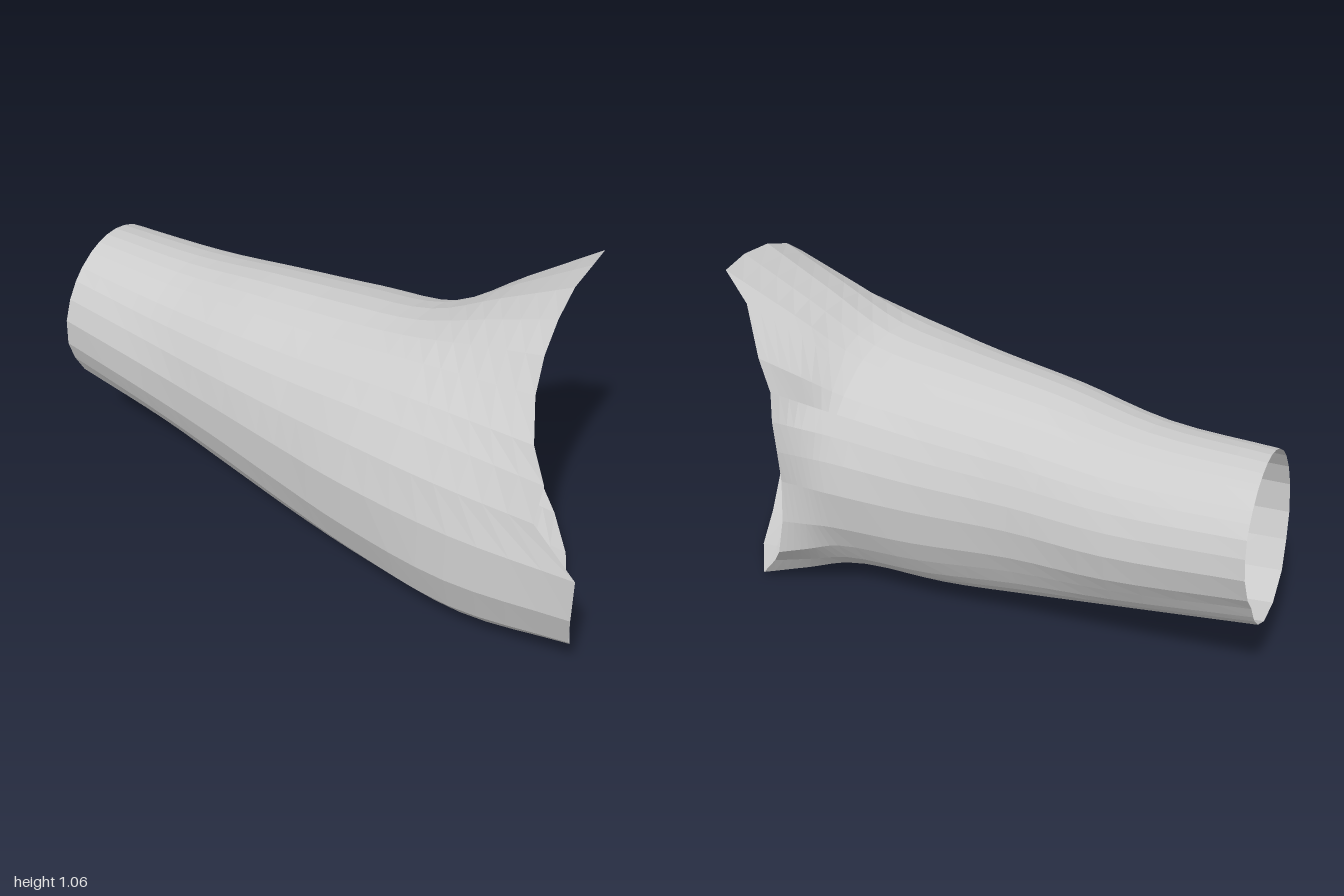
import * as THREE from 'three';

// Body rings, back to front: centre, z, and radius every 30 degrees from +x
const RINGS = [
  { c: [-0.05, 0.48], z: a => -0.968 - 0.033 * Math.cos(a) + 0.024 * Math.sin(a),
    r: [.25, .265, .26, .26, .255, .25, .25, .25, .275, .265, .24, .22] },
  { c: [-0.03, 0.44], z: () => -0.6,
    r: [.285, .295, .305, .30, .29, .275, .275, .28, .30, .305, .28, .265] },
  { c: [-0.03, 0.43], z: () => -0.3,
    r: [.31, .325, .35, .35, .335, .315, .305, .315, .34, .35, .335, .305] },
  { c: [-0.02, 0.42], z: () => 0,
    r: [.36, .37, .39, .39, .375, .36, .355, .365, .385, .39, .38, .36] },
  { c: [-0.01, 0.42], z: () => 0.27,
    r: [.40, .41, .425, .425, .415, .405, .405, .41, .42, .412, .405, .40] },
];

// Ragged, slanted front rim, counter-clockwise from the +x side
const RIM = [
  [.41, .45, .42], [.42, .56, .42], [.42, .66, .43], [.405, .75, .44], [.4, .85, .48],
  [.32, .97, .58], [.3, 1.05, .67], [.19, 1.06, .69], [.07, 1.05, .70], [-.04, 1.01, .715],
  [-.13, .95, .73], [-.2, .87, .75], [-.28, .78, .80], [-.32, .7, .86], [-.36, .6, .86],
  [-.37, .48, 1], [-.37, .34, 1], [-.33, .22, .985], [-.24, .12, .95], [-.1, .05, .88],
  [.05, .02, .79], [.21, .005, .70], [.35, .015, .58], [.37, .1, .51], [.425, .19, .44],
  [.42, .31, .42],
];

function ringPoint({ c, z, r }, a) {
  const s = a / (Math.PI / 6), i = Math.floor(s);
  const radius = THREE.MathUtils.lerp(r[i % 12], r[(i + 1) % 12], s - i);
  return new THREE.Vector3(c[0] + radius * Math.cos(a), c[1] + radius * Math.sin(a), z(a));
}

// One lengthwise line of the sleeve, from the back opening to a rim point
function sleeveLine(rimPoint, index) {
  const end = new THREE.Vector3(...rimPoint);
  const a = (Math.atan2(end.y - 0.42, end.x) + 2 * Math.PI) % (2 * Math.PI);
  const points = RINGS.map(ring => ringPoint(ring, a));
  // The lower -x side bulges before the rim; the upper +x side is pleated
  const mid = points[4].clone().lerp(end, 0.5);
  let bulge = 0.04 * Math.max(0, -Math.cos(a - Math.PI / 6));
  if (a > 0.4 && a < 1 && index % 2) bulge -= 0.02;
  mid.x += bulge * Math.cos(a);
  mid.y += bulge * Math.sin(a);
  return new THREE.CatmullRomCurve3([...points, mid, end], false, 'centripetal');
}

export function createModel() {
  const group = new THREE.Group();
  const steps = 24, n = RIM.length;
  const positions = [], indices = [];

  RIM.forEach((p, i) => {
    for (const v of sleeveLine(p, i).getPoints(steps)) {
      positions.push(v.x, Math.max(v.y, 0), v.z);
    }
  });
  for (let i = 0; i < n; i++) {
    for (let k = 0; k < steps; k++) {
      const a = i * (steps + 1) + k, b = ((i + 1) % n) * (steps + 1) + k;
      indices.push(a, b, b + 1, a, b + 1, a + 1);
    }
  }

  const geometry = new THREE.BufferGeometry();
  geometry.setAttribute('position', new THREE.Float32BufferAttribute(positions, 3));
  geometry.setIndex(indices);
  geometry.computeVertexNormals();

  const sleeve = new THREE.Mesh(geometry, new THREE.MeshStandardMaterial({
    color: 0xcccccc, flatShading: true, side: THREE.DoubleSide,
  }));
  sleeve.name = 'sleeve';
  group.add(sleeve);
  return group;
}
